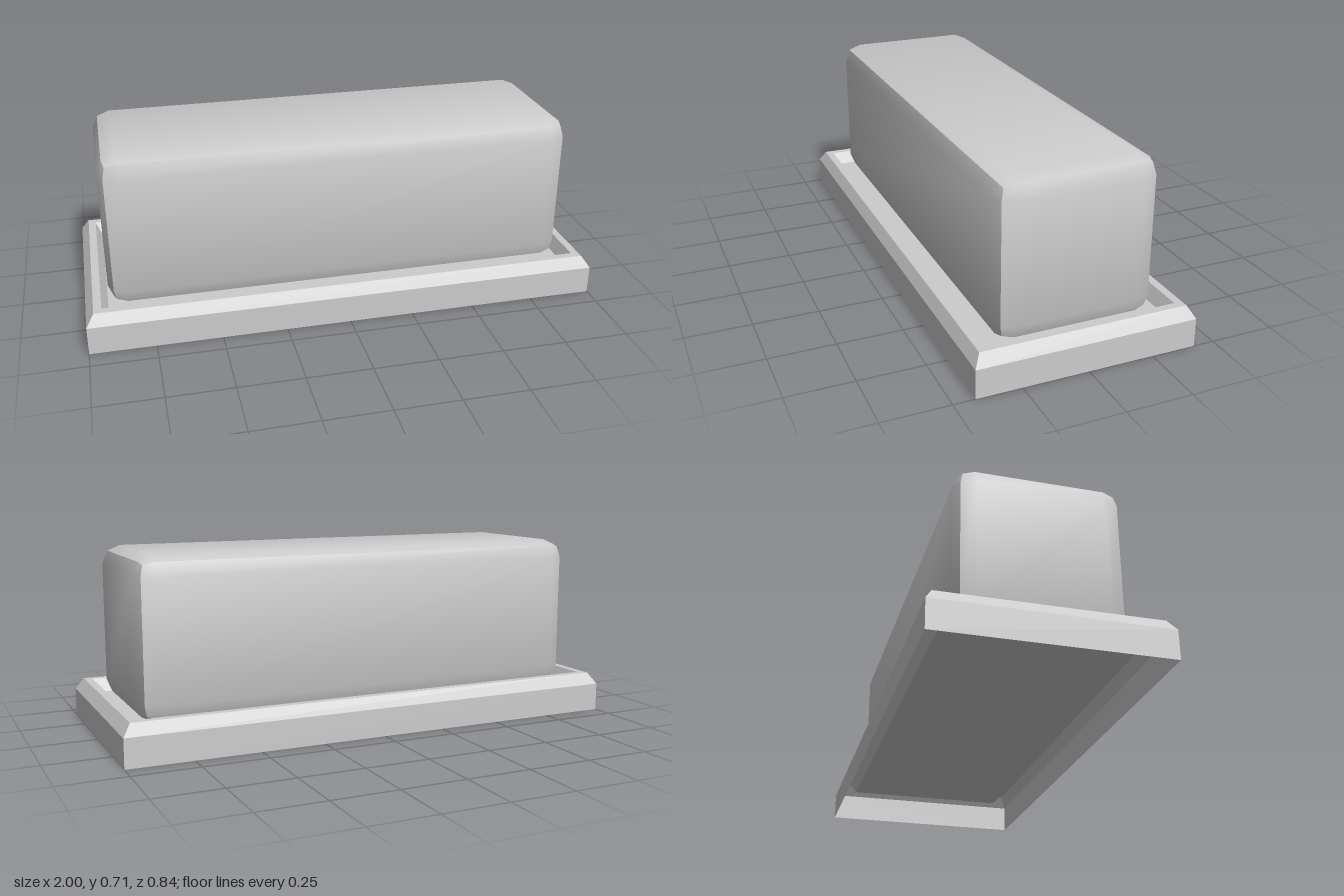
import * as THREE from 'three';
import { toCreasedNormals } from 'three/addons/utils/BufferGeometryUtils.js';
import { RoundedBoxGeometry } from 'three/addons/geometries/RoundedBoxGeometry.js';

// Shell from stacked rectangles [halfX, y, halfZ], capped at the last one
function rectShell(rings) {
  const corners = [[1, 1], [1, -1], [-1, -1], [-1, 1]];
  const point = (r, i) => [r[0] * corners[i % 4][0], r[1], r[2] * corners[i % 4][1]];
  const pos = [];
  const quad = (a, b, c, d) => pos.push(...a, ...b, ...c, ...a, ...c, ...d);
  for (let k = 0; k < rings.length - 1; k++) {
    for (let i = 0; i < 4; i++) {
      quad(point(rings[k], i), point(rings[k], i + 1), point(rings[k + 1], i + 1), point(rings[k + 1], i));
    }
  }
  const cap = rings[rings.length - 1];
  quad(point(cap, 0), point(cap, 1), point(cap, 2), point(cap, 3));
  const geo = new THREE.BufferGeometry();
  geo.setAttribute('position', new THREE.Float32BufferAttribute(pos, 3));
  geo.computeVertexNormals();
  return geo;
}

export function createModel() {
  const group = new THREE.Group();
  group.name = 'coveredDish';
  const grey = new THREE.MeshStandardMaterial({ color: 0xcccccc, side: THREE.DoubleSide });
  grey.name = 'lightGrey';

  // Tray: hollow underneath, bevelled rim, shallow sunken floor
  const tray = new THREE.Mesh(rectShell([
    [1, 0, 0.42],
    [1, 0.11, 0.42],
    [0.97, 0.155, 0.395],
    [0.94, 0.155, 0.364],
    [0.915, 0.105, 0.337],
  ]), grey);
  tray.name = 'tray';
  group.add(tray);

  // Cover: box with two-step bevels
  const bottom = 0.107, top = 0.709;
  const coverGeo = new RoundedBoxGeometry(1.82, top - bottom, 0.61, 1, 0.07);
  const cover = new THREE.Mesh(toCreasedNormals(coverGeo, 0.6), grey);
  cover.name = 'cover';
  cover.position.y = (top + bottom) / 2;
  group.add(cover);

  return group;
}
